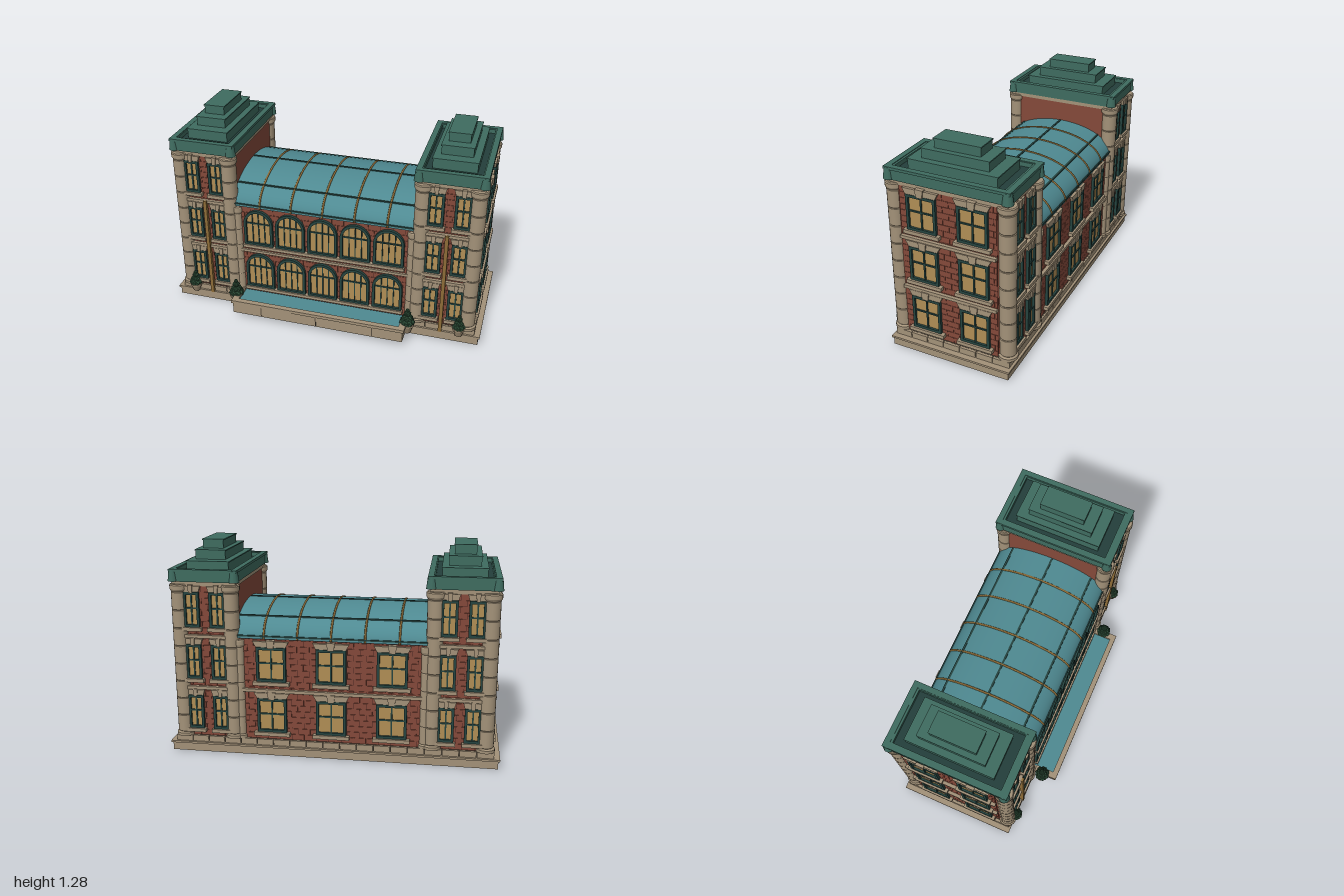
import * as THREE from 'three';
import { mergeGeometries } from 'three/addons/utils/BufferGeometryUtils.js';

const mat = (color, flatShading = false, side = THREE.FrontSide) =>
  new THREE.MeshStandardMaterial({ color, flatShading, side });
const STONE = mat(0xa39279), BRICK = mat(0x84493a), MORTAR = mat(0x4a2620), FRAME = mat(0x25433f),
  PANE = mat(0xb08e55), COPPER = mat(0x3f6c60), SHADE = mat(0x243f3b), GOLD = mat(0x8d6c38),
  GLASS = mat(0x4f8a92, false, THREE.DoubleSide), SEAM = mat(0x574d40), LEAF = mat(0x2c4c36, true);
const CZ = -0.075; // centre line of the main building

function add(parent, name, geo, material, x = 0, y = 0, z = 0) {
  const m = new THREE.Mesh(geo, material);
  m.name = name;
  m.position.set(x, y, z);
  parent.add(m);
  return m;
}
// box given by its limits
function block(parent, name, material, x0, x1, y0, y1, z0, z1) {
  return add(parent, name, new THREE.BoxGeometry(x1 - x0, y1 - y0, z1 - z0), material,
    (x0 + x1) / 2, (y0 + y1) / 2, (z0 + z1) / 2);
}
function group(parent, name, x = 0, y = 0, z = 0, ry = 0) {
  const g = new THREE.Group();
  g.name = name;
  g.position.set(x, y, z);
  g.rotation.y = ry;
  parent.add(g);
  return g;
}
const poly = (pts) => new THREE.Shape(pts.map(([x, y]) => new THREE.Vector2(x, y)));
const rect = (w, h) => poly([[-w / 2, -h / 2], [w / 2, -h / 2], [w / 2, h / 2], [-w / 2, h / 2]]);
const slab = (shape, depth) => new THREE.ExtrudeGeometry(shape, { depth, bevelEnabled: false, curveSegments: 12 });

// staggered brick facing on a wall that faces +z
function bricks(face, w, y0, y1) {
  block(face, 'mortar', MORTAR, -w / 2, w / 2, y0, y1, -0.002, 0.001);
  const parts = [], rows = Math.round((y1 - y0) / 0.036), h = (y1 - y0) / rows, len = 0.075;
  for (let r = 0; r < rows; r++) {
    for (let x = -w / 2 - (r % 2) * len / 2; x < w / 2 - 0.004; x += len) {
      const a = Math.max(x, -w / 2), b = Math.min(x + len, w / 2) - 0.0025;
      if (b - a < 0.006) continue;
      parts.push(new THREE.BoxGeometry(b - a, h - 0.0018, 0.005)
        .translate((a + b) / 2, y0 + (r + 0.5) * h, 0.0025));
    }
  }
  add(face, 'brickFacing', mergeGeometries(parts), BRICK);
}

// square-headed window with sill, splayed lintel and keystone
function sashWindow(face, x, y, w, h) {
  const g = group(face, 'sashWindow', x, y), t = 0.016, s = w > 0.12 ? 1 : 0.55;
  const frame = rect(w, h);
  frame.holes.push(rect(w - 2 * t, h - 2 * t));
  add(g, 'windowFrame', slab(frame, 0.022), FRAME);
  block(g, 'windowPane', PANE, -w / 2 + t, w / 2 - t, -h / 2 + t, h / 2 - t, 0, 0.009);
  block(g, 'mullion', FRAME, -0.0045, 0.0045, -h / 2 + t, h / 2 - t, 0, 0.016);
  block(g, 'transom', FRAME, -w / 2 + t, w / 2 - t, 0.004, 0.013, 0, 0.016);
  block(g, 'sill', STONE, -w / 2 - 0.02 * s, w / 2 + 0.02 * s, -h / 2 - 0.022, -h / 2, 0, 0.034);
  const b = h / 2 + 0.002, a = w / 2, k = 0.018 * s;
  add(g, 'lintel', slab(poly([[-a, b], [a, b], [a + 0.018 * s, b + 0.034], [-a - 0.018 * s, b + 0.034]]), 0.022), STONE);
  add(g, 'keystone', slab(poly([[-k, b - 0.006], [k, b - 0.006], [k * 1.4, b + 0.042], [-k * 1.4, b + 0.042]]), 0.03), STONE);
}

// round-headed outline, origin at the middle of the foot
function archShape(r, spring, foot = 0) {
  const s = new THREE.Shape();
  s.moveTo(-r, foot);
  s.lineTo(r, foot);
  s.lineTo(r, spring);
  s.absarc(0, spring, r, 0, Math.PI, false);
  s.closePath();
  return s;
}
function archWindow(face, x, y) {
  const g = group(face, 'archWindow', x, y), r = 0.094, sp = 0.15;
  const frame = archShape(r, sp);
  frame.holes.push(archShape(r - 0.017, sp, 0.014));
  add(g, 'archFrame', slab(frame, 0.024), FRAME);
  add(g, 'archPane', slab(archShape(r - 0.012, sp, 0.006), 0.009), PANE);
  for (const i of [-1, 0, 1]) block(g, 'archMullion', FRAME, i * 0.039 - 0.003, i * 0.039 + 0.003, 0.01, i ? 0.212 : 0.23, 0, 0.016);
  block(g, 'archTransom', FRAME, -r + 0.01, r - 0.01, sp - 0.004, sp + 0.004, 0, 0.016);
}

// round column of stacked drums with base and capital
function column(parent, x, z, r, top) {
  const y0 = 0.1, pts = [[0, y0], [r * 1.12, y0], [r * 1.12, y0 + 0.018], [r * 0.95, y0 + 0.024]];
  const n = Math.round((top - y0) / 0.115), a = y0 + 0.026, h = (top - 0.045 - a) / n;
  for (let i = 0; i < n; i++) {
    const b = a + i * h;
    pts.push([r * 0.9, b], [r * 0.96, b + 0.004], [r * 0.96, b + h - 0.004], [r * 0.9, b + h]);
  }
  pts.push([r * 1.0, top - 0.04], [r * 1.1, top - 0.03], [r * 1.1, top - 0.006], [r, top], [0, top]);
  // doubled points keep the drum edges crisp
  const prof = pts.flatMap(([px, py]) => [new THREE.Vector2(px, py), new THREE.Vector2(px, py + 1e-5)]);
  add(parent, 'column', new THREE.LatheGeometry(prof, 20), STONE, x, 0, z);
}

function planter(parent, x, y, z, s) {
  const g = group(parent, 'planter', x, y, z);
  g.scale.setScalar(s);
  const pot = [[0, 0], [0.027, 0], [0.04, 0.045], [0.044, 0.045], [0.044, 0.06], [0, 0.06]].map((p) => new THREE.Vector2(...p));
  add(g, 'pot', new THREE.LatheGeometry(pot, 12), mat(0x94836b, true));
  [[0.026, 7, 0.025], [0.019, 6, 0.019], [0.009, 4, 0.016]].forEach(([ring, n, r], k) => {
    for (let i = 0; i < n; i++) {
      const t = (i / n) * Math.PI * 2 + k * 0.5;
      add(g, 'foliage', new THREE.IcosahedronGeometry(r, 0), LEAF, Math.cos(t) * ring, 0.072 + k * 0.03, Math.sin(t) * ring);
    }
  });
  add(g, 'foliageTip', new THREE.IcosahedronGeometry(0.014, 0), LEAF, 0, 0.155, 0);
}

function tower(root, side) {
  const cx = side * 0.755, g = group(root, side > 0 ? 'leftTower' : 'rightTower', cx);
  block(g, 'towerWalls', BRICK, -0.185, 0.185, 0.09, 1.04, -0.42, 0.27);
  block(g, 'eavesBand', STONE, -0.192, 0.192, 1.035, 1.062, -0.432, 0.282);
  const front = group(g, 'frontFace', 0, 0, 0.27), back = group(g, 'backFace', 0, 0, -0.42, Math.PI);
  const outer = group(g, 'outerFace', side * 0.185, 0, CZ, side * Math.PI / 2);
  for (const [face, w, win, xs] of [[front, 0.26, 0.096, 0.078], [back, 0.26, 0.096, 0.078], [outer, 0.58, 0.18, 0.153]]) {
    bricks(face, w, 0.1, 1.035);
    for (let f = 0; f < 3; f++) {
      for (const s of [-1, 1]) sashWindow(face, s * xs, 0.255 + f * 0.319, win, 0.212);
      if (f < 2) block(face, 'beltCourse', STONE, -w / 2, w / 2, 0.401 + f * 0.321, 0.42 + f * 0.321, 0, 0.025);
    }
  }
  for (const x of [-0.157, 0.157]) for (const z of [-0.41, 0.26]) column(g, x, z, 0.05, 1.045);

  // copper parapet with a sunken gutter and stepped roof
  const rim = rect(0.4, 0.735);
  rim.holes.push(rect(0.33, 0.65));
  add(g, 'parapet', slab(rim, 0.07).rotateX(-Math.PI / 2), COPPER, 0, 1.06, CZ);
  block(g, 'gutter', SHADE, -0.17, 0.17, 1.06, 1.105, CZ - 0.33, CZ + 0.33);
  for (const s of [-1, 1]) {
    block(g, 'parapetLip', COPPER, -0.205, 0.205, 1.118, 1.134, CZ + s * 0.355 - 0.017, CZ + s * 0.355 + 0.017);
    block(g, 'parapetLip', COPPER, s * 0.188 - 0.017, s * 0.188 + 0.017, 1.118, 1.134, CZ - 0.372, CZ + 0.372);
    for (const t of [-1, 1]) add(g, 'cornerKnob', new THREE.CylinderGeometry(0.024, 0.032, 0.068, 10), COPPER, s * 0.184, 1.095, CZ + t * 0.35);
  }
  [[0.128, 0.265, 1.1, 1.168], [0.092, 0.2, 1.16, 1.226], [0.063, 0.138, 1.22, 1.282]].forEach(([a, b, y0, y1]) => {
    block(g, 'roofStep', COPPER, -a, a, y0, y1, CZ - b, CZ + b);
    block(g, 'roofStepLip', COPPER, -a - 0.004, a + 0.004, y1 - 0.007, y1, CZ - b - 0.004, CZ + b + 0.004);
  });
  block(g, 'goldPole', GOLD, -0.011, 0.011, 0.06, 0.74, 0.285, 0.308);
  planter(root, side * 0.87, 0.06, 0.303, 0.86);
  planter(root, side * 0.56, 0.06, 0.355, 1);
  column(root, side * 0.553, 0.265, 0.03, 0.72);
  column(root, side * 0.553, -0.415, 0.03, 0.72);
}

function hall(root) {
  const g = group(root, 'centralHall');
  block(g, 'hallWalls', BRICK, -0.58, 0.58, 0.09, 0.73, -0.42, 0.27);
  const front = group(g, 'hallFront', 0, 0, 0.27), back = group(g, 'hallBack', 0, 0, -0.42, Math.PI);
  bricks(front, 1.08, 0.1, 0.725);
  bricks(back, 1.08, 0.1, 0.725);
  for (let f = 0; f < 2; f++) {
    const y = 0.155 + f * 0.315;
    for (let i = -2; i <= 2; i++) archWindow(front, i * 0.207, y);
    block(front, 'arcadeSill', STONE, -0.515, 0.515, y - 0.02, y, 0, 0.034);
    for (let i = -1; i <= 1; i++) sashWindow(back, i * 0.36, 0.255 + f * 0.319, 0.18, 0.212);
  }
  block(front, 'beltCourse', STONE, -0.54, 0.54, 0.408, 0.425, 0, 0.018);
  block(back, 'beltCourse', STONE, -0.54, 0.54, 0.401, 0.42, 0, 0.025);

  // barrel vault of glass with gold ribs and dark purlins
  const A = 0.36, B = 0.178, Y = 0.73;
  const vault = new THREE.CylinderGeometry(1, 1, 1.16, 40, 1, true, 0, Math.PI).rotateZ(Math.PI / 2).scale(1, B, A);
  add(g, 'glassVault', vault, GLASS, 0, Y, CZ);
  const arc = Array.from({ length: 25 }, (_, i) => new THREE.Vector3(0, B * Math.sin(i * Math.PI / 24), A * Math.cos(i * Math.PI / 24)));
  const rib = new THREE.TubeGeometry(new THREE.CatmullRomCurve3(arc), 40, 0.0065, 6);
  for (let i = -2; i <= 2; i++) add(g, 'vaultRib', rib, GOLD, i * 0.2, Y, CZ);
  for (const t of [0.03, 0.235, 0.5, 0.765, 0.97].map((v) => v * Math.PI)) {
    add(g, 'purlin', new THREE.BoxGeometry(1.13, 0.009, 0.012), FRAME, 0, Y + B * Math.sin(t), CZ + A * Math.cos(t));
  }
}

function baseAndTerrace(root) {
  const g = group(root, 'base');
  block(g, 'baseSlab', STONE, -0.99, 0.99, 0, 0.05, -0.445, 0.295);
  block(g, 'baseLip', STONE, -1, 1, 0.05, 0.062, -0.455, 0.302);
  block(g, 'plinthCore', SEAM, -0.95, 0.95, 0.06, 0.1, -0.43, 0.28);
  // plinth stones along every side
  const stones = [];
  const run = (len, n, place) => {
    for (let i = 0; i < n; i++) place((i + 0.5) * len / n - len / 2, len / n - 0.004);
  };
  for (const s of [-1, 1]) {
    run(1.93, 19, (x, l) => stones.push(new THREE.BoxGeometry(l, 0.038, 0.03).translate(x, 0.08, CZ + s * 0.35)));
    run(0.73, 7, (z, l) => stones.push(new THREE.BoxGeometry(0.03, 0.038, l).translate(s * 0.95, 0.08, CZ + z)));
  }
  add(g, 'plinthStones', mergeGeometries(stones), STONE);

  // front terrace with a teal floor behind its coping
  const t = group(root, 'terrace');
  block(t, 'terraceBody', STONE, -0.55, 0.55, 0.038, 0.112, 0.28, 0.445);
  block(t, 'terraceFloor', GLASS, -0.52, 0.52, 0.112, 0.118, 0.285, 0.422);
  block(t, 'terraceCoping', STONE, -0.56, 0.56, 0.11, 0.13, 0.418, 0.452);
  for (const s of [-1, 1]) block(t, 'terraceEdge', STONE, s * 0.54 - 0.02, s * 0.54 + 0.02, 0.11, 0.13, 0.3, 0.42);
  for (const x of [-0.36, 0, 0.36]) block(t, 'terraceSeam', SEAM, x - 0.003, x + 0.003, 0.045, 0.112, 0.44, 0.4465);
}

export function createModel() {
  const root = new THREE.Group();
  root.name = 'grandHall';
  baseAndTerrace(root);
  hall(root);
  for (const side of [-1, 1]) tower(root, side);
  return root;
}
